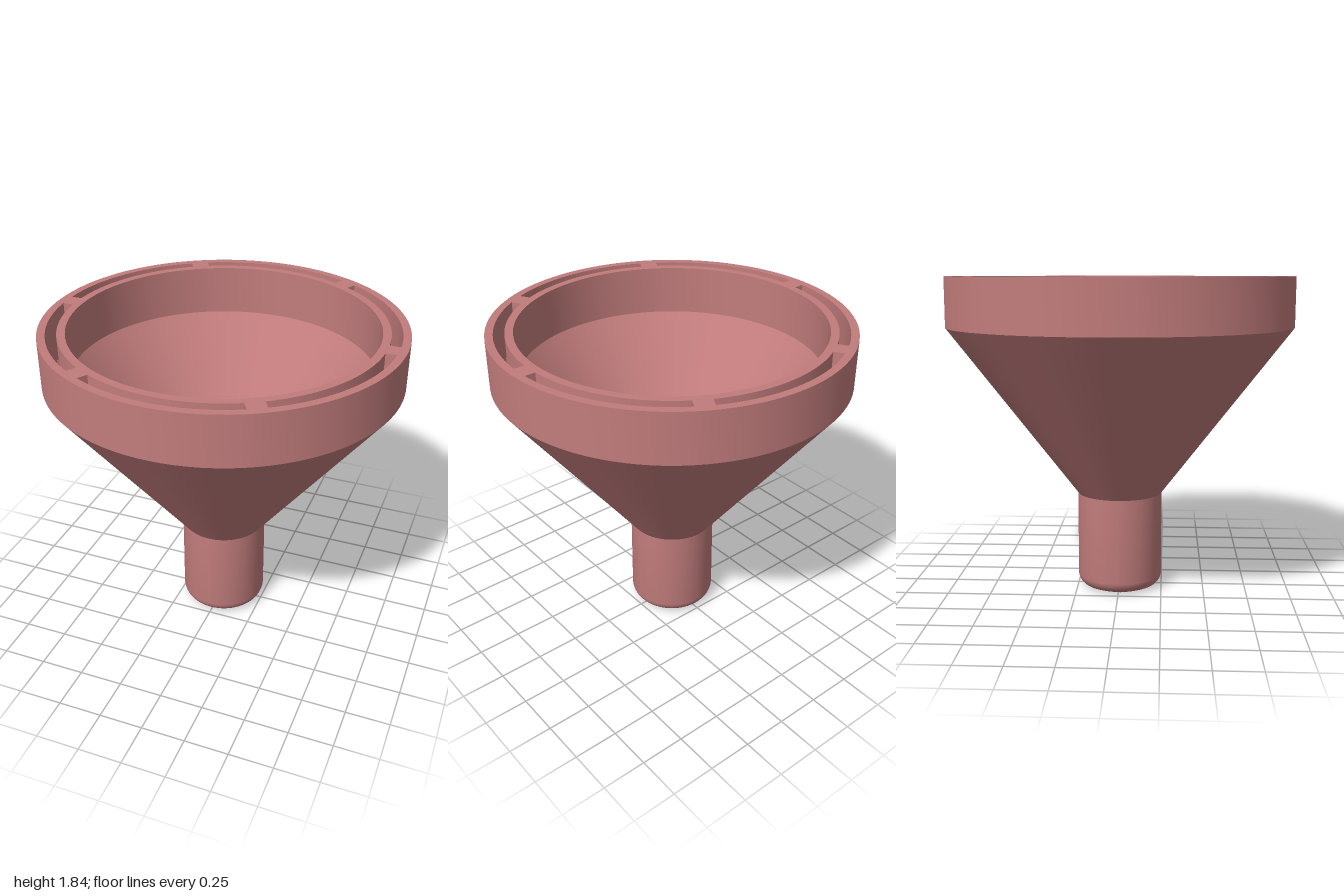
import * as THREE from 'three';
import { toCreasedNormals } from 'three/addons/utils/BufferGeometryUtils.js';

const SEG = 96;
const TOP = 1.84, RIM_BASE = 1.555, NECK = 0.57;
const FILLET = 0.08, FILLET_C = 0.17;   // rounded tip: radius and centre radius
const HOLE_R = 0.014, HOLE_RING = 0.2;  // small outlets in the tip
const RING_IN = 0.183, RING_OUT = 0.217;

const material = new THREE.MeshStandardMaterial({ color: 0xc27c7c });

// height of the rounded tip at a given radius
const tipHeight = (r) =>
  r <= FILLET_C ? 0 : FILLET - Math.sqrt(Math.max(0, FILLET ** 2 - (r - FILLET_C) ** 2));

function add(group, name, geometry) {
  const mesh = new THREE.Mesh(geometry, material);
  mesh.name = name;
  group.add(mesh);
  return mesh;
}

// profile running upwards faces outwards, downwards faces the axis
function turned(points) {
  const lathe = new THREE.LatheGeometry(points.map(([r, y]) => new THREE.Vector2(r, y)), SEG);
  return toCreasedNormals(lathe, 0.5);
}

function circle(PathType, r, x = 0, y = 0) {
  const path = new PathType();
  path.absarc(x, y, r, 0, Math.PI * 2, false);
  return path;
}

// rim ring with six curved slots, separated by spokes of constant width
function rimGeometry() {
  const shape = circle(THREE.Shape, 1);
  shape.holes.push(circle(THREE.Path, 0.85));
  const outer = 0.955, inner = 0.895, halfSpoke = 0.05;
  const a = Math.asin(halfSpoke / outer), b = Math.asin(halfSpoke / inner);
  for (let i = 0; i < 6; i++) {
    const start = i * Math.PI / 3, end = start + Math.PI / 3;
    const slot = new THREE.Path();
    slot.absarc(0, 0, outer, start + a, end - a, false);
    slot.absarc(0, 0, inner, end - b, start + b, true);
    slot.closePath();
    shape.holes.push(slot);
  }
  const geo = new THREE.ExtrudeGeometry(shape, {
    depth: TOP - RIM_BASE, bevelEnabled: false, curveSegments: SEG / 2,
  });
  geo.rotateX(-Math.PI / 2).translate(0, RIM_BASE, 0);
  return toCreasedNormals(geo, 0.5);
}

// band of the rounded tip pierced by the six outlets
function outletBandGeometry() {
  const shape = circle(THREE.Shape, RING_OUT);
  shape.holes.push(circle(THREE.Path, RING_IN));
  for (let i = 0; i < 6; i++) {
    const t = i * Math.PI / 3;
    shape.holes.push(circle(THREE.Path, HOLE_R, HOLE_RING * Math.cos(t), HOLE_RING * Math.sin(t)));
  }
  const geo = new THREE.ShapeGeometry(shape, SEG / 2).rotateX(Math.PI / 2);
  const pos = geo.attributes.position, normal = geo.attributes.normal;
  for (let i = 0; i < pos.count; i++) {
    const x = pos.getX(i), z = pos.getZ(i), r = Math.hypot(x, z);
    const s = (r - FILLET_C) / FILLET;
    pos.setY(i, tipHeight(r));
    normal.setXYZ(i, s * x / r, -Math.sqrt(1 - s * s), s * z / r);
  }
  return geo;
}

// narrow channel whose lower end follows the rounded tip
function channelGeometry(angle) {
  const geo = new THREE.CylinderGeometry(HOLE_R, HOLE_R, NECK, 24, 1, true);
  geo.translate(HOLE_RING * Math.cos(angle), NECK / 2, HOLE_RING * Math.sin(angle));
  const pos = geo.attributes.position;
  for (let i = 0; i < pos.count; i++) {
    if (pos.getY(i) < 0.01) pos.setY(i, tipHeight(Math.hypot(pos.getX(i), pos.getZ(i))));
  }
  return geo;
}

export function createModel() {
  const group = new THREE.Group();
  group.name = 'funnel';

  add(group, 'slottedRim', rimGeometry());
  add(group, 'outerCone', turned([[0.248, NECK], [1, RIM_BASE]]));
  add(group, 'innerCone', turned([[0.85, RIM_BASE], [0.16, NECK]]));

  // hollow between the two cone walls, open to the rim slots
  add(group, 'wallCavity', turned([
    [0.955, RIM_BASE], [0.214, NECK], [0.186, NECK], [0.895, RIM_BASE],
  ]));

  // spout: bore, flat tip, rounded edge and straight outside
  add(group, 'spoutBore', turned([[0.16, NECK], [0.16, 0]]));
  add(group, 'spoutTip', turned(
    [0.16, FILLET_C, 0.176, RING_IN].map((r) => [r, tipHeight(r)])));
  add(group, 'outletBand', outletBandGeometry());
  const startAngle = Math.asin((RING_OUT - FILLET_C) / FILLET);
  const edge = [];
  for (let i = 0; i <= 8; i++) {
    const t = startAngle + (Math.PI / 2 - startAngle) * i / 8;
    edge.push([FILLET_C + FILLET * Math.sin(t), FILLET * (1 - Math.cos(t))]);
  }
  add(group, 'spoutOutside', turned([...edge, [0.248, NECK]]));

  // outlet channels, seen from inside
  const inside = material.clone();
  inside.side = THREE.DoubleSide;
  for (let i = 0; i < 6; i++) {
    add(group, 'outletChannel', channelGeometry(i * Math.PI / 3)).material = inside;
  }
  return group;
}
